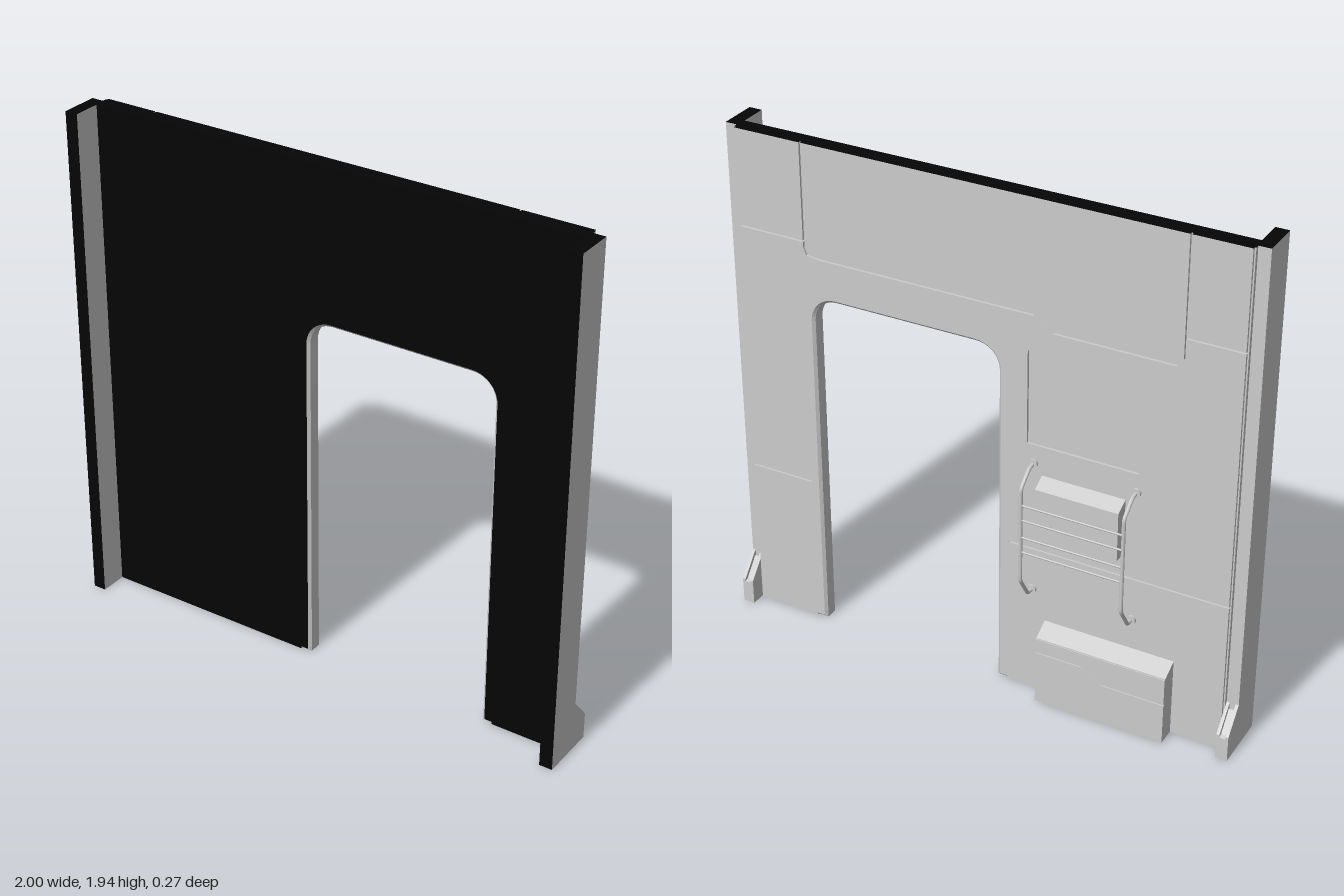
import * as THREE from 'three';

const grey = new THREE.MeshStandardMaterial({ color: 0xcccccc, flatShading: true });
const smoothGrey = new THREE.MeshStandardMaterial({ color: 0xcccccc });
const dark = new THREE.MeshStandardMaterial({ color: 0x050505, flatShading: true });

const TOP = 1.94, EDGE = 0.955, SEAM = 0.006;

// Doorway outline grown by d, running from the +x foot over the top to the -x foot
function arch(d, y0) {
  const x0 = -0.08 - d, x1 = 0.67 + d, r = 0.1 + d, cy = 1.37 - 0.1;
  const pts = [[x1, y0]];
  for (let i = 0; i <= 20; i++) {
    const a = (Math.PI / 2) * ((i > 10 ? i - 1 : i) / 10) * (i > 10 ? 20 / 19 * 19 / 20 : 1);
    const cx = i <= 10 ? x1 - r : x0 + r;
    pts.push([cx + r * Math.cos(a), cy + r * Math.sin(a)]);
  }
  pts.push([x0 + r - r, cy], [x0, y0]);
  return pts;
}

const toShape = (pts) => new THREE.Shape(pts.map(([x, y]) => new THREE.Vector2(x, y)));

// Flat plate in the x-y plane between two depths
function plate(pts, z0, z1, holes = []) {
  const shape = toShape(pts);
  holes.forEach((h) => shape.holes.push(toShape(h)));
  return new THREE.ExtrudeGeometry(shape, { depth: z1 - z0, bevelEnabled: false }).translate(0, 0, z0);
}

// Side profile of [distance behind, height] points, swept along x
function sweepX(pts, x0, x1) {
  return new THREE.ExtrudeGeometry(toShape(pts), { depth: x1 - x0, bevelEnabled: false })
    .rotateY(Math.PI / 2).translate(x0, 0, 0);
}

const rect = (x0, y0, x1, y1) => [[x0, y0], [x1, y0], [x1, y1], [x0, y1]];

function add(parent, name, geometry, material = grey) {
  const mesh = new THREE.Mesh(geometry, material);
  mesh.name = name;
  parent.add(mesh);
  return mesh;
}

// Adds a structural part with its front, top and bottom faces dark
function addTwoTone(parent, name, geometry) {
  const p = (geometry.index ? geometry.toNonIndexed() : geometry).attributes.position;
  const sets = { grey: [], dark: [] };
  const tri = new THREE.Triangle(), n = new THREE.Vector3();
  for (let i = 0; i < p.count; i += 3) {
    tri.setFromAttributeAndIndices(p, i, i + 1, i + 2);
    tri.getNormal(n);
    const end = Math.abs(n.y) > 0.9 && (tri.a.y < 0.02 || tri.a.y > TOP - 0.02);
    const target = n.z > 0.9 || end ? sets.dark : sets.grey;
    for (const v of [tri.a, tri.b, tri.c]) target.push(v.x, v.y, v.z);
  }
  for (const [tone, list] of Object.entries(sets)) {
    if (!list.length) continue;
    const g = new THREE.BufferGeometry();
    g.setAttribute('position', new THREE.Float32BufferAttribute(list, 3));
    g.computeVertexNormals();
    add(parent, name + (tone === 'dark' ? 'Dark' : ''), g, tone === 'dark' ? dark : grey);
  }
}

export function createModel() {
  const model = new THREE.Group();
  model.name = 'doorwayWall';

  // Core wall with doorway notch
  addTwoTone(model, 'wallCore', plate(
    [[EDGE, TOP], [EDGE, 0], ...arch(0.03, 0), [-EDGE, 0], [-EDGE, TOP]], -0.025, 0.03));

  // Chamfered lining around the doorway
  const lining = new THREE.ExtrudeGeometry(
    toShape([...arch(0.03, 0.01), ...arch(0, 0.01).reverse()]),
    { depth: 0.045, bevelEnabled: true, bevelThickness: 0.01, bevelSize: 0.01, bevelSegments: 1 });
  addTwoTone(model, 'doorLining', lining.translate(0, 0, -0.025));

  // Rear cladding plates, separated by narrow seams
  const S = SEAM, E = 0.95;
  const header = [[0.686, 1.55], [0.675, 1.527], [0.64, 1.52], [-0.2, 1.52], [-0.27, 1.47], [-0.715, 1.47], [-0.74, 1.495]];
  const headerSeam = header.map(([x, y], i) => [x + (i < 2 ? S : i > 5 ? -S : 0), y - (i > 0 && i < 6 ? S : 0)]);
  const middle = [
    [E, 0.6], [E, 1.57], [0.686 + S, 1.57], ...headerSeam, [-0.74 - S, 1.57], [-E, 1.57], [-E, 0.6],
    ...arch(0.03, 0.6).reverse()];
  const cladding = {
    headerCladding: plate([[0.686, TOP], ...header, [-0.74, TOP]], -0.035, -0.025),
    middleCladding: plate(middle, -0.035, -0.025, [rect(-0.6, 1.02, -0.18, 1.38)]),
    upperLeftCladding: plate(rect(0.686 + S, 1.57 + S, E, TOP), -0.035, -0.025),
    upperRightCladding: plate(rect(-E, 1.57 + S, -0.74 - S, TOP), -0.035, -0.025),
    lowerLeftCladding: plate(rect(0.7, 0, E, 0.6 - S), -0.035, -0.025),
    lowerRightCladding: plate(rect(-E, 0, -0.11, 0.6 - S), -0.035, -0.025),
  };
  for (const [name, g] of Object.entries(cladding)) addTwoTone(model, name, g);

  // Side flanges and their recessed feet
  for (const s of [1, -1]) {
    const side = s > 0 ? 'left' : 'right';
    addTwoTone(model, side + 'Flange',
      new THREE.BoxGeometry(0.05, TOP, 0.145).translate(s * 0.975, TOP / 2, 0.0625));
    const foot = new THREE.Group();
    foot.name = side + 'Foot';
    foot.position.x = s * 0.9775;
    const outer = [[0.01, 0], [0.087, 0], [0.087, 0.1], [0.01, 0.19]];
    const inner = [[0.01, 0], [0.087, 0], [0.087, 0.09], [0.072, 0.095], [0.015, 0.165], [0.01, 0.165]];
    add(foot, 'footCheek', sweepX(outer, -0.0225, -0.011));
    add(foot, 'footCheek', sweepX(outer, 0.011, 0.0225));
    add(foot, 'footCore', sweepX(inner, -0.011, 0.011));
    model.add(foot);
  }

  // Storage bin with a stepped seam across its face
  const bin = new THREE.Group();
  bin.name = 'storageBin';
  add(bin, 'binBody', sweepX([[0.03, 0], [0.1, 0], [0.1, 0.273], [0.03, 0.31]], -0.76, -0.26));
  const step = [[-0.26, 0.216], [-0.44, 0.216], [-0.515, 0.165], [-0.76, 0.165]];
  add(bin, 'binLowerFace', plate([[-0.76, 0], [-0.26, 0], ...step.map(([x, y]) => [x, y - 0.005])], -0.105, -0.1));
  add(bin, 'binUpperFace', plate([...step, [-0.76, 0.27], [-0.26, 0.27]], -0.105, -0.1));
  model.add(bin);

  // Wall box with a sloped lid
  add(model, 'wallBox', sweepX([[0.03, 0.69], [0.088, 0.69], [0.088, 0.88], [0.03, 0.91]], -0.555, -0.24));

  // Guard rail: two bent tubes with mounts, joined by thin bars
  const rail = new THREE.Group();
  rail.name = 'guardRail';
  const bends = [[0.03, 0.95], [0.07, 0.945], [0.128, 0.895], [0.128, 0.52], [0.07, 0.43], [0.03, 0.43]];
  for (const x of [-0.595, -0.208]) {
    const path = new THREE.CurvePath();
    const pts = bends.map(([a, y]) => new THREE.Vector3(x, y, -a));
    let from = pts[0];
    for (let i = 1; i < pts.length - 1; i++) {
      const toward = (q) => pts[i].clone().add(q.clone().sub(pts[i]).setLength(0.012));
      const a = toward(pts[i - 1]), b = toward(pts[i + 1]);
      path.add(new THREE.LineCurve3(from, a));
      path.add(new THREE.QuadraticBezierCurve3(a, pts[i], b));
      from = b;
    }
    path.add(new THREE.LineCurve3(from, pts[pts.length - 1]));
    add(rail, 'railTube', new THREE.TubeGeometry(path, 100, 0.007, 10), smoothGrey);
    for (const y of [0.95, 0.43]) {
      add(rail, 'railMount',
        new THREE.CylinderGeometry(0.017, 0.017, 0.012, 16).rotateX(Math.PI / 2).translate(x, y, -0.039), smoothGrey);
    }
  }
  for (const y of [0.83, 0.77, 0.7, 0.64]) {
    add(rail, 'railBar',
      new THREE.CylinderGeometry(0.004, 0.004, 0.387, 8).rotateZ(Math.PI / 2).translate(-0.4015, y, -0.128), smoothGrey);
  }
  model.add(rail);

  return model;
}
